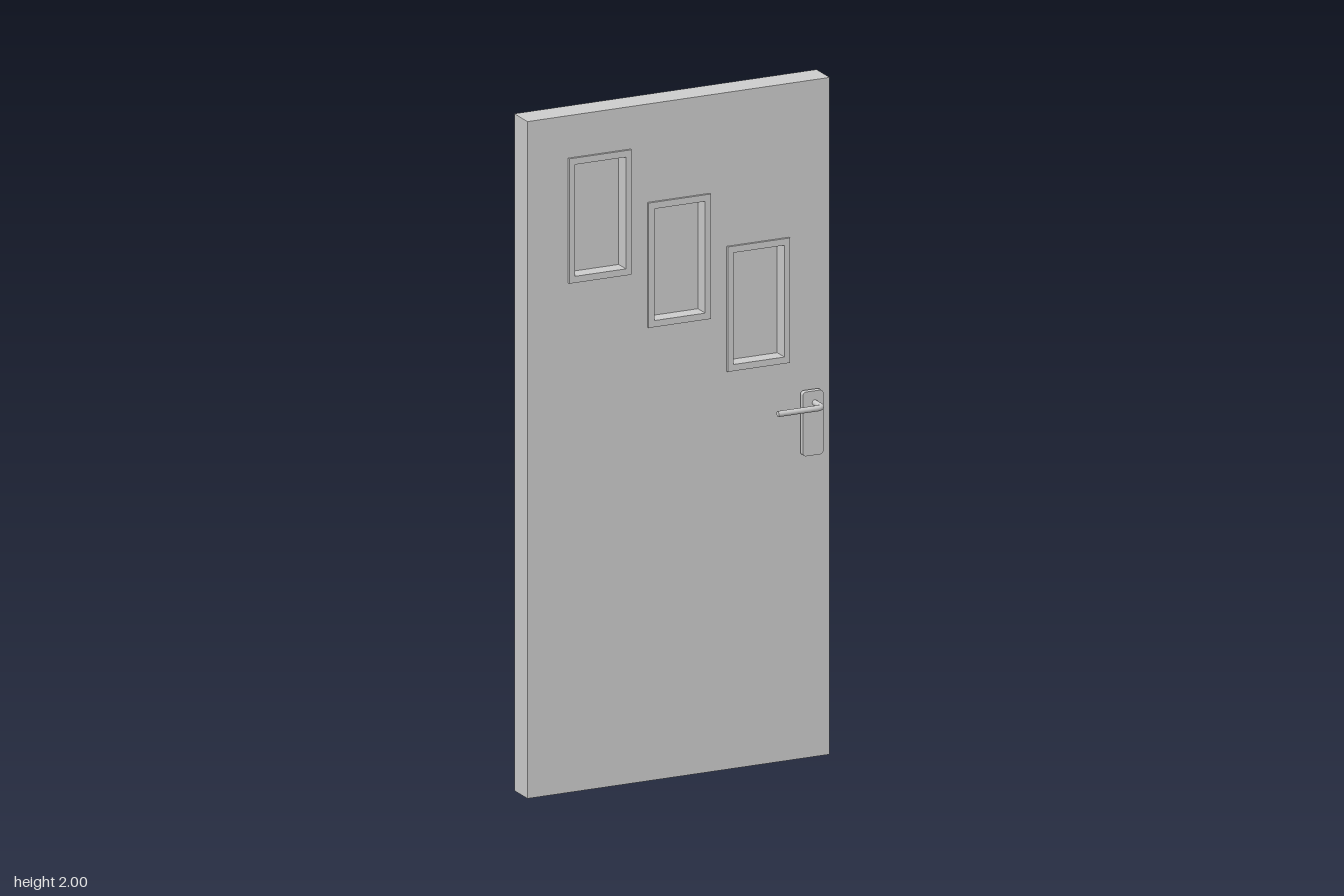
import * as THREE from 'three';

const material = new THREE.MeshStandardMaterial({ color: 0xcccccc });

// Window centres, stepping down across the door
const WINDOWS = [[-0.249, 1.69], [0, 1.525], [0.249, 1.361]];
const OUTER = [0.196, 0.369], INNER = [0.16, 0.33];
const BACK = -0.084, THICK = 0.084, LIP = 0.0075;

function mesh(name, geometry, parent) {
  const m = new THREE.Mesh(geometry, material);
  m.name = name;
  parent.add(m);
  return m;
}

// Traces a rectangle centred on (x, y)
function rect(path, x, y, w, h) {
  path.moveTo(x - w / 2, y - h / 2);
  path.lineTo(x + w / 2, y - h / 2);
  path.lineTo(x + w / 2, y + h / 2);
  path.lineTo(x - w / 2, y + h / 2);
  path.closePath();
  return path;
}

function extrude(shape, depth, z) {
  return new THREE.ExtrudeGeometry(shape, { depth, bevelEnabled: false, curveSegments: 6 }).translate(0, 0, z);
}

// Upright plate with rounded corners
function roundedRect(x, y, w, h, r) {
  const s = new THREE.Shape(), a = w / 2 - r, b = h / 2 - r;
  s.absarc(x + a, y + b, r, 0, Math.PI / 2);
  s.absarc(x - a, y + b, r, Math.PI / 2, Math.PI);
  s.absarc(x - a, y - b, r, Math.PI, Math.PI * 1.5);
  s.absarc(x + a, y - b, r, Math.PI * 1.5, Math.PI * 2);
  s.closePath();
  return s;
}

export function createModel() {
  const door = new THREE.Group();
  door.name = 'door';

  // Door leaf with three window openings
  const leaf = rect(new THREE.Shape(), 0, 1, 0.95, 2);
  for (const [x, y] of WINDOWS) leaf.holes.push(rect(new THREE.Path(), x, y, ...OUTER));
  mesh('doorLeaf', extrude(leaf, THICK, BACK), door);

  // Window frames standing slightly proud of both faces, each with a thin pane
  WINDOWS.forEach(([x, y], i) => {
    const window = new THREE.Group();
    window.name = `window${i + 1}`;
    const frame = rect(new THREE.Shape(), x, y, ...OUTER);
    frame.holes.push(rect(new THREE.Path(), x, y, ...INNER));
    mesh('windowFrame', extrude(frame, THICK + 2 * LIP, BACK - LIP), window);
    mesh('windowPane', new THREE.BoxGeometry(...INNER, 0.006), window)
      .position.set(x, y, BACK + THICK / 2);
    door.add(window);
  });

  // Handle: back plate and bent lever
  const handle = new THREE.Group();
  handle.name = 'handle';
  mesh('handlePlate', extrude(roundedRect(0.41, 0.995, 0.064, 0.19, 0.01), 0.017, 0.01), handle);

  const v = (x, z) => new THREE.Vector3(x, 1.055, z);
  const R = 0.0085, bend = 0.016, X = 0.415, Z = 0.079;
  const points = [v(X, 0.024), v(X, 0.044)];
  for (let i = 0; i <= 6; i++) {
    const t = (i / 6) * Math.PI / 2;
    points.push(v(X - bend + bend * Math.cos(t), Z - bend + bend * Math.sin(t)));
  }
  points.push(v(0.34, Z), v(0.273, Z));
  const path = new THREE.CatmullRomCurve3(points, false, 'centripetal');
  mesh('handleLever', new THREE.TubeGeometry(path, 48, R, 16), handle);

  // Flat cap on the free end of the lever
  const cap = mesh('leverEnd', new THREE.CircleGeometry(R, 16), handle);
  cap.position.copy(points.at(-1));
  cap.rotation.y = -Math.PI / 2;
  door.add(handle);

  return door;
}
